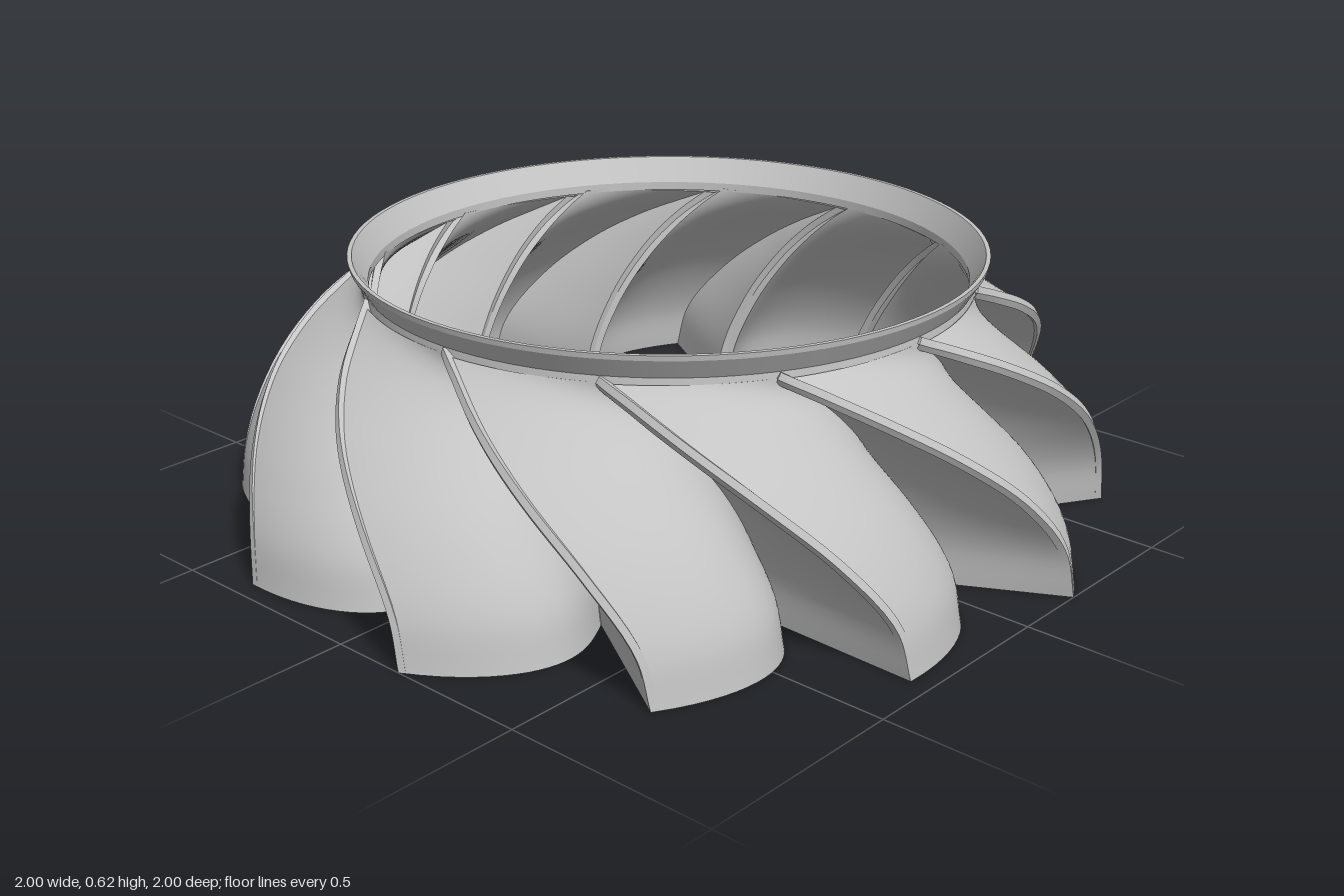
import * as THREE from 'three';
import { mergeGeometries } from 'three/addons/utils/BufferGeometryUtils.js';

const BLADES = 12;
const RIM = 0.68;        // radius of the inner opening
const PLATE = 0.06;      // height of hub, spokes and base ring
const WALL = 0.016;      // blade thickness
const rad = THREE.MathUtils.degToRad;

// Regular grid surface from a point function of (u, v) in 0..1
function grid(fn, nu, nv) {
  const pos = [], index = [];
  for (let j = 0; j <= nv; j++) {
    for (let i = 0; i <= nu; i++) pos.push(...fn(i / nu, j / nv).toArray());
  }
  for (let j = 0; j < nv; j++) {
    for (let i = 0; i < nu; i++) {
      const a = j * (nu + 1) + i, b = a + 1, c = a + nu + 1, d = c + 1;
      index.push(a, b, d, a, d, c);
    }
  }
  const g = new THREE.BufferGeometry();
  g.setAttribute('position', new THREE.Float32BufferAttribute(pos, 3));
  g.setIndex(index);
  g.computeVertexNormals();
  return g;
}

// Outer blade edge: radius, height, fraction of the total sweep
const edge = new THREE.CatmullRomCurve3([
  [1.0155, 0, 0], [1.005, 0.11, 0.04], [0.966, 0.25, 0.2], [0.9, 0.37, 0.42],
  [0.82, 0.455, 0.64], [0.745, 0.512, 0.84], [0.697, 0.548, 1],
].map(p => new THREE.Vector3(...p)));

const polar = (r, y, deg) => new THREE.Vector3(r * Math.cos(rad(deg)), y, -r * Math.sin(rad(deg)));
const innerRadius = f => RIM - 0.003 + 0.014 * f;

// Outer scoop: u runs from the outer edge inward, v from bottom to top
function scoop(u, v) {
  const { x: r0, y, z: f } = edge.getPoint(v);
  const a = -80 - 40 * f, b = -60 - 30 * f;
  const bend = THREE.MathUtils.lerp(1 - (1 - u) ** 3, u, f);
  return polar(r0 + (innerRadius(f) - r0) * u, y, a + (b - a) * bend);
}

// Passage wall: straight from the next scoop's inner edge out to this outer edge
function passageWall(u, v) {
  const { x: r0, y, z: f } = edge.getPoint(v);
  return polar(innerRadius(f), y, -90 - 30 * f).lerp(polar(r0, y, -80 - 40 * f), u);
}

// Solid sheet: a surface, its copy moved inward by the wall thickness, and the rims
function sheet(surface, nu, nv) {
  const inside = (u, v) => {
    const e = 0.01;
    const du = surface(Math.min(1, u + e), v).sub(surface(Math.max(0, u - e), v));
    const dv = surface(u, Math.min(1, v + e)).sub(surface(u, Math.max(0, v - e)));
    const p = surface(u, v).addScaledVector(du.cross(dv).normalize(), -WALL);
    p.y = v === 0 ? 0 : Math.max(0, p.y);
    return p;
  };
  const across = (u, v, k) => surface(u, v).lerp(inside(u, v), k);
  return mergeGeometries([
    grid(surface, nu, nv),
    grid((u, v) => inside(1 - u, v), nu, nv),
    grid((k, v) => across(0, v, 1 - k), 1, nv),
    grid((k, v) => across(1, v, k), 1, nv),
    grid((u, k) => across(u, 0, 1 - k), nu, 1),
    grid((u, k) => across(u, 1, k), nu, 1),
  ]);
}

// Flat plate lying on the ground, extruded upward
function plate(shape, height) {
  const g = new THREE.ExtrudeGeometry(shape, { depth: height, bevelEnabled: false, curveSegments: 32 });
  return g.rotateX(-Math.PI / 2);
}

function circlePath(x, y, r) {
  return new THREE.Path().absarc(x, y, r, 0, Math.PI * 2, true);
}

function polygon(r) {
  return Array.from({ length: BLADES }, (_, i) => {
    const t = i / BLADES * Math.PI * 2;
    return new THREE.Vector2(r * Math.cos(t), r * Math.sin(t));
  });
}

export function createModel() {
  const group = new THREE.Group();
  const metal = new THREE.MeshStandardMaterial({ color: 0xc4c4c4, side: THREE.DoubleSide });
  metal.name = 'grey metal';
  const add = (name, geometry) => {
    const mesh = new THREE.Mesh(geometry, metal);
    mesh.name = name;
    group.add(mesh);
    return mesh;
  };

  // Swept blades, each a scoop closed by a passage wall
  const blade = sheet(scoop, 24, 32);
  const wall = sheet(passageWall, 8, 32);
  for (let i = 0; i < BLADES; i++) {
    const turn = i / BLADES * Math.PI * 2;
    add('blade', blade).rotation.y = turn;
    add('passageWall', wall).rotation.y = turn;
  }

  // Flared collar, in separate bands so its edges stay sharp
  const collar = [[0.676, 0.542], [0.692, 0.542], [0.69, 0.562], [0.718, 0.608],
    [0.72, 0.62], [0.71, 0.62], [0.676, 0.562], [0.676, 0.542]];
  const bands = [];
  for (let i = 0; i < collar.length - 1; i++) {
    bands.push(new THREE.LatheGeometry(
      [new THREE.Vector2(...collar[i]), new THREE.Vector2(...collar[i + 1])], 96));
  }
  add('collar', mergeGeometries(bands));

  // Twelve-sided base ring
  const ring = new THREE.Shape(polygon(RIM));
  ring.holes.push(new THREE.Path(polygon(RIM - 0.014).reverse()));
  add('baseRing', plate(ring, PLATE));

  // Hub disc with a shaft hole and four bolt holes
  const disc = new THREE.Shape().absarc(0, 0, 0.2, 0, Math.PI * 2, false);
  disc.holes.push(circlePath(0, 0, 0.052));
  for (const a of [50, 140, 230, 320]) {
    disc.holes.push(circlePath(0.135 * Math.cos(rad(a)), 0.135 * Math.sin(rad(a)), 0.026));
  }
  add('hub', plate(disc, PLATE));

  // Three spokes from the hub to the base ring
  const spoke = new THREE.BoxGeometry(0.485, PLATE, 0.136).translate(0.4275, PLATE / 2, 0);
  for (const a of [30, 150, 270]) add('spoke', spoke).rotation.y = rad(a);

  return group;
}
